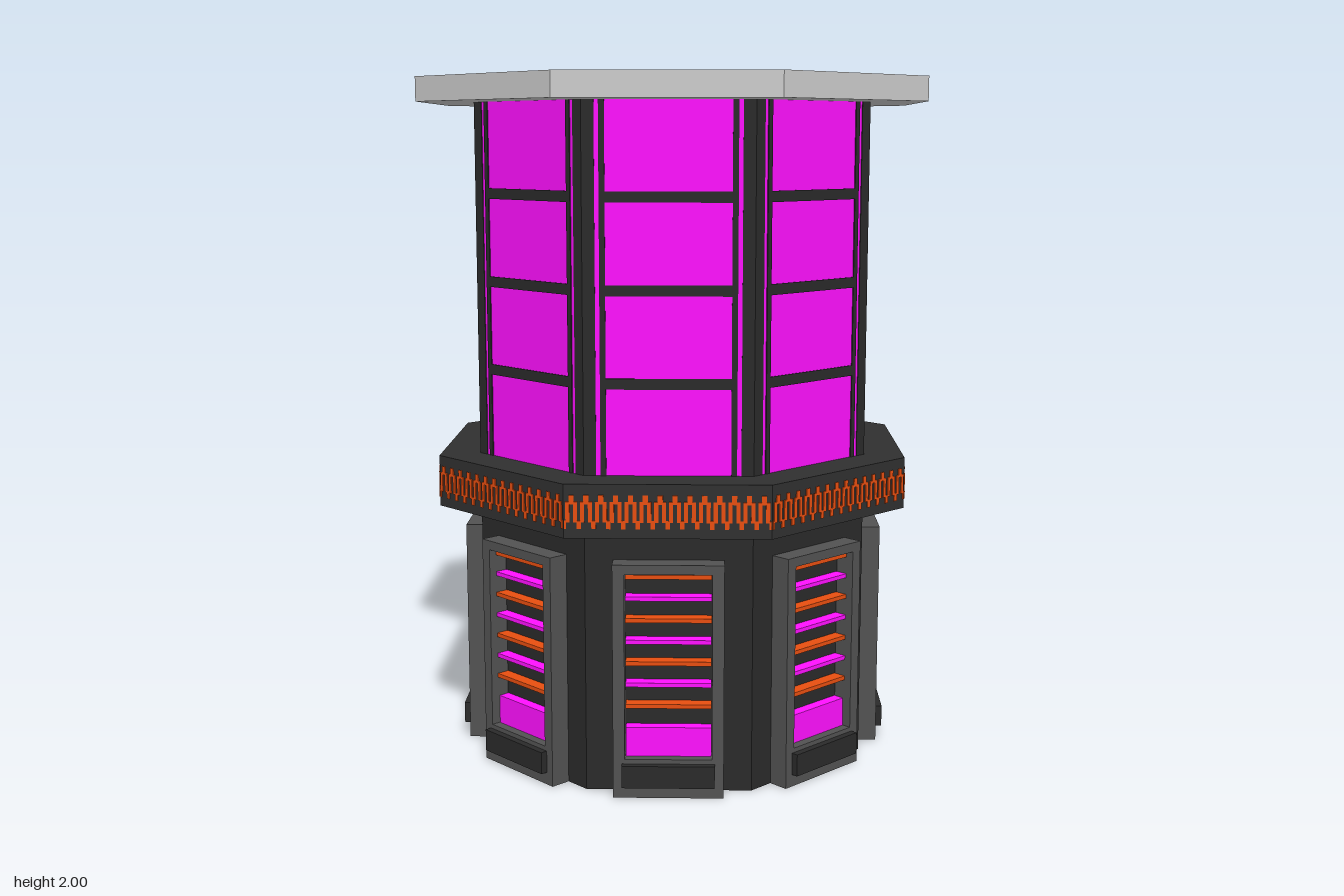
import * as THREE from 'three';

const mat = (color) => new THREE.MeshStandardMaterial({ color, flatShading: true });
const grey = mat(0xcccccc), dark = mat(0x2a2a2a), collarDark = mat(0x303030), frameGrey = mat(0x525252);
const magenta = mat(0xff10ff), orange = mat(0xe84e10);

function add(parent, name, geometry, material) {
  const mesh = new THREE.Mesh(geometry, material);
  mesh.name = name;
  parent.add(mesh);
  return mesh;
}

// Octagonal prism with a flat side facing +z, sized by its apothem
function octagon(parent, name, apothem, y0, y1, material) {
  const r = apothem / Math.cos(Math.PI / 8);
  const g = new THREE.CylinderGeometry(r, r, y1 - y0, 8, 1, false, Math.PI / 8);
  g.translate(0, (y0 + y1) / 2, 0);
  return add(parent, name, g, material);
}

// Box given by its limits on each axis
function block(parent, name, x0, x1, y0, y1, z0, z1, material) {
  const g = new THREE.BoxGeometry(x1 - x0, y1 - y0, z1 - z0);
  g.translate((x0 + x1) / 2, (y0 + y1) / 2, (z0 + z1) / 2);
  return add(parent, name, g, material);
}

function rect(path, x, y0, y1) {
  path.moveTo(-x, y0);
  path.lineTo(x, y0);
  path.lineTo(x, y1);
  path.lineTo(-x, y1);
  path.closePath();
  return path;
}

// Tall glowing window with dark mullions and crossbars
function makeWindow() {
  const g = new THREE.Group();
  g.name = 'window';
  block(g, 'windowPane', -0.2, 0.2, 0.9, 1.94, 0.54, 0.564, magenta);
  for (const s of [-1, 1]) {
    block(g, 'mullion', s * 0.18 - 0.008, s * 0.18 + 0.008, 0.9, 1.94, 0.55, 0.567, dark);
  }
  for (const y of [1.165, 1.42, 1.672]) {
    block(g, 'crossbar', -0.175, 0.175, y - 0.015, y + 0.015, 0.55, 0.567, dark);
  }
  return g;
}

// Framed vent with coloured slats, a glowing lower panel and a sill box
function makeVent() {
  const g = new THREE.Group();
  g.name = 'vent';
  const outline = rect(new THREE.Shape(), 0.155, 0, 0.672);
  outline.holes.push(rect(new THREE.Path(), 0.122, 0.113, 0.645));
  const frame = new THREE.ExtrudeGeometry(outline, { depth: 0.075, bevelEnabled: false });
  frame.translate(0, 0, 0.55);
  add(g, 'ventFrame', frame, frameGrey);
  block(g, 'glowPanel', -0.12, 0.12, 0.113, 0.197, 0.55, 0.598, magenta);
  for (let i = 0; i < 7; i++) {
    const y = 0.26 + i * 0.062;
    block(g, 'slat', -0.12, 0.12, y - 0.006, y + 0.006, 0.55, 0.603, i % 2 ? magenta : orange);
  }
  block(g, 'sillBox', -0.13, 0.13, 0.036, 0.1, 0.6, 0.645, dark);
  return g;
}

// Stepped orange tile band on one side of the collar
function makeBand() {
  const g = new THREE.Group();
  g.name = 'tileBand';
  const count = 14, pitch = 0.56 / count, z0 = 0.67, z1 = 0.683;
  for (let i = 0; i < count; i++) {
    const x = -0.28 + i * pitch;
    block(g, 'middleTile', x + 0.004, x + 0.015, 0.805, 0.862, z0, z1, orange);
    block(g, 'middleTile', x + 0.025, x + 0.036, 0.805, 0.862, z0, z1, orange);
    block(g, 'upperTile', x + 0.013, x + 0.027, 0.855, 0.88, z0, z1, orange);
    block(g, 'lowerTile', x, x + 0.006, 0.787, 0.81, z0, z1, orange);
    block(g, 'lowerTile', x + 0.034, x + 0.04, 0.787, 0.81, z0, z1, orange);
  }
  return g;
}

export function createModel() {
  const model = new THREE.Group();
  model.name = 'tower';

  // Stacked octagonal masses
  octagon(model, 'lowerBody', 0.565, 0, 0.77, dark);
  octagon(model, 'collar', 0.68, 0.76, 0.91, collarDark);
  octagon(model, 'upperBody', 0.561, 0.9, 1.94, dark);
  octagon(model, 'roofSlab', 0.722, 1.93, 2, grey);

  // Corner posts covering the joints between the windows
  for (let i = 0; i < 8; i++) {
    const corner = new THREE.Group();
    corner.name = 'cornerPost';
    const edge = 0.566 * Math.tan(Math.PI / 8);
    block(corner, 'postFace', 0.2, edge, 0.9, 1.94, 0.55, 0.566, dark);
    block(corner, 'postFace', -edge, -0.2, 0.9, 1.94, 0.55, 0.566, dark);
    corner.rotation.y = i * Math.PI / 4;
    model.add(corner);
  }

  // Repeat the details on all eight sides
  const details = [makeWindow(), makeVent(), makeBand()];
  for (let i = 0; i < 8; i++) {
    const side = new THREE.Group();
    side.name = 'side' + (i + 1);
    for (const d of details) side.add(d.clone());
    side.rotation.y = i * Math.PI / 4;
    model.add(side);
  }
  return model;
}
